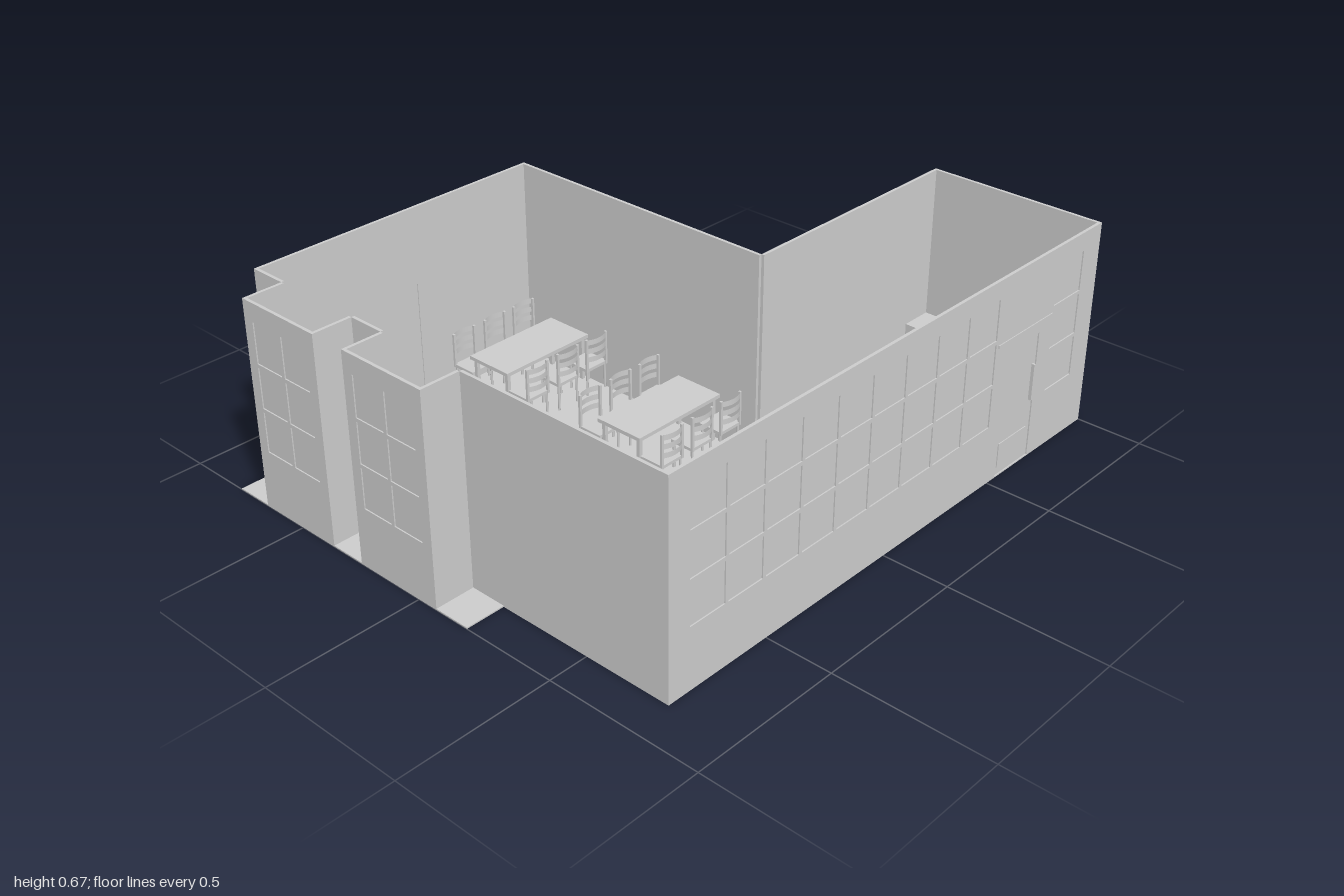
import * as THREE from 'three';

const mat = new THREE.MeshStandardMaterial({ color: 0xcccccc, side: THREE.DoubleSide });
const H = 0.67, T = 0.01;

function add(parent, name, geo, x = 0, y = 0, z = 0) {
  const m = new THREE.Mesh(geo, mat);
  m.name = name;
  m.position.set(x, y, z);
  parent.add(m);
  return m;
}

// Box given by its minimum and maximum corners
function box(parent, name, x0, x1, y0, y1, z0, z1) {
  return add(parent, name, new THREE.BoxGeometry(x1 - x0, y1 - y0, z1 - z0),
    (x0 + x1) / 2, (y0 + y1) / 2, (z0 + z1) / 2);
}

function rectPath(x0, x1, y0, y1) {
  return new THREE.Path([[x0, y0], [x0, y1], [x1, y1], [x1, y0]].map(p => new THREE.Vector2(...p)));
}

// Wall from a to b; local x runs along it, local +z faces outdoors
function wall(parent, name, a, b, openings = []) {
  const g = new THREE.Group();
  g.name = name;
  const dx = b[0] - a[0], dz = b[1] - a[1], len = Math.hypot(dx, dz);
  g.position.set(a[0], 0, a[1]);
  g.rotation.y = -Math.atan2(dz, dx);
  const s = new THREE.Shape([[0, 0], [len, 0], [len, H], [0, H]].map(p => new THREE.Vector2(...p)));
  for (const o of openings) {
    const w = (o.u1 - o.u0) / o.cols, h = (o.y1 - o.y0) / o.rows, bar = o.bar / 2;
    for (let i = 0; i < o.cols; i++) for (let j = 0; j < o.rows; j++) {
      s.holes.push(rectPath(o.u0 + i * w + bar, o.u0 + (i + 1) * w - bar,
        o.y0 + j * h + bar, o.y0 + (j + 1) * h - bar));
    }
    // Pane or door leaf set back inside the opening
    box(g, o.name, o.u0, o.u1, o.y0, o.y1, -0.007, -0.004);
  }
  add(g, name + 'Panel', new THREE.ExtrudeGeometry(s, { depth: T, bevelEnabled: false }), 0, 0, -T);
  parent.add(g);
  return g;
}

const windowGrid = (u0, u1, cols) =>
  ({ name: 'windowPane', u0, u1, y0: 0.19, y1: 0.615, cols, rows: 3, bar: 0.012 });
const doorway = (u0, u1) =>
  ({ name: 'doorLeaf', u0, u1, y0: 0.004, y1: 0.418, cols: 1, rows: 1, bar: 0 });

// Chair facing local +z, with a curved slatted back
function chair(parent, x, z, angle) {
  const g = new THREE.Group();
  g.name = 'chair';
  box(g, 'seat', -0.045, 0.045, 0.09, 0.1, -0.04, 0.045);
  for (const sx of [-1, 1]) {
    for (const lz of [-0.035, 0.038]) {
      add(g, 'chairLeg', new THREE.CylinderGeometry(0.004, 0.004, 0.09, 6), sx * 0.039, 0.045, lz);
    }
    box(g, 'backPost', sx * 0.042 - 0.004, sx * 0.042 + 0.004, 0.09, 0.205, -0.042, -0.034);
  }
  for (const y of [0.135, 0.165, 0.195]) {
    add(g, 'backSlat', new THREE.CylinderGeometry(0.08, 0.08, 0.018, 10, 1, true, Math.PI - 0.58, 1.16), 0, y, 0.028);
  }
  g.position.set(x, 0, z);
  g.rotation.y = angle;
  parent.add(g);
}

function table(parent, x0, x1, z0, z1) {
  const g = new THREE.Group();
  g.name = 'table';
  box(g, 'tableTop', x0, x1, 0.15, 0.162, z0, z1);
  for (const x of [x0 + 0.015, x1 - 0.015]) for (const z of [z0 + 0.015, z1 - 0.015]) {
    box(g, 'tableLeg', x - 0.006, x + 0.006, 0, 0.15, z - 0.006, z + 0.006);
  }
  parent.add(g);
}

export function createModel() {
  const root = new THREE.Group();
  root.name = 'diningRoom';

  // L-shaped floor with the front kerb strip
  const plan = [[-0.79, 1], [0.19, 1], [0.19, 0.87], [0.785, 0.87], [0.785, -1], [0.19, -1], [0.19, -0.16], [-0.79, -0.16]];
  const floor = add(root, 'floor', new THREE.ExtrudeGeometry(
    new THREE.Shape(plan.map(([x, z]) => new THREE.Vector2(x, -z))), { depth: 0.004, bevelEnabled: false }));
  floor.rotation.x = -Math.PI / 2;

  // Front wall with two projecting window bays
  const bays = [[-0.665, -0.36], [-0.24, 0.07]];
  let from = -0.79;
  for (const [x0, x1] of bays) {
    wall(root, 'frontWall', [from, 0.87], [x0, 0.87]);
    wall(root, 'baySide', [x0, 0.87], [x0, 1]);
    wall(root, 'bayFront', [x0, 1], [x1, 1], [windowGrid(0.03, x1 - x0 - 0.03, 2)]);
    wall(root, 'baySide', [x1, 1], [x1, 0.87]);
    box(root, 'windowBench', x0 + T, x1 - T, 0, 0.1, 0.87, 0.99);
    from = x1;
  }
  wall(root, 'frontWall', [from, 0.87], [0.785, 0.87]);

  // Long window wall with the main door
  const side = wall(root, 'windowWall', [0.785, 0.87], [0.785, -1],
    [windowGrid(0.07, 1.36, 9), doorway(1.41, 1.58), windowGrid(1.64, 1.79, 1)]);
  box(side, 'doorLedge', 1.365, 1.64, 0.45, 0.46, -0.002, 0.003);
  box(side, 'doorHandle', 1.562, 1.57, 0.2, 0.32, -0.004, 0.006);
  box(side, 'kickPlate', 1.42, 1.56, 0.03, 0.11, -0.004, -0.001);

  // Back walls and the wall with the service door
  wall(root, 'backWall', [0.785, -1], [0.19, -1]);
  wall(root, 'innerSideWall', [0.19, -1], [0.19, -0.16]);
  wall(root, 'innerBackWall', [0.19, -0.16], [-0.79, -0.16]);
  const service = wall(root, 'serviceWall', [-0.79, -0.16], [-0.79, 0.87], [doorway(0.465, 0.645)]);
  add(service, 'portholeRing', new THREE.TorusGeometry(0.037, 0.004, 6, 24), 0.555, 0.31, -0.002);
  box(service, 'kickPlate', 0.48, 0.63, 0.02, 0.085, -0.004, -0.001);
  for (const u of [0.461, 0.645]) box(service, 'doorTrim', u, u + 0.004, 0, 0.42, -0.002, 0.004);
  box(service, 'doorTrim', 0.461, 0.649, 0.418, 0.422, -0.002, 0.004);

  // Long tables with three chairs on each side
  for (const x of [-0.595, -0.035]) {
    table(root, x - 0.085, x + 0.085, -0.15, 0.2);
    for (const z of [-0.105, 0.02, 0.15]) {
      chair(root, x - 0.128, z, Math.PI / 2);
      chair(root, x + 0.128, z, -Math.PI / 2);
    }
  }

  // Small tables along the window wall
  for (const z of [-0.295, 0.165]) {
    table(root, 0.63, 0.775, z - 0.075, z + 0.075);
    chair(root, 0.703, z - 0.115, 0);
    chair(root, 0.703, z + 0.115, Math.PI);
  }

  // Tables in front of the bays
  for (const x of [-0.512, -0.085]) {
    table(root, x - 0.148, x + 0.148, 0.675, 0.825);
    for (const d of [-0.068, 0.068]) chair(root, x + d, 0.625, 0);
  }

  // Serving counter, back counter and host stand
  box(root, 'counterBody', 0.43, 0.775, 0, 0.19, 0.595, 0.7);
  box(root, 'counterTop', 0.417, 0.775, 0.19, 0.205, 0.583, 0.71);
  box(root, 'backCounter', 0.2, 0.775, 0, 0.17, -0.99, -0.88);
  box(root, 'hostStand', 0.3, 0.39, 0, 0.2, -0.67, -0.52);
  box(root, 'standHandle', 0.288, 0.3, 0.14, 0.15, -0.62, -0.57);

  return root;
}
